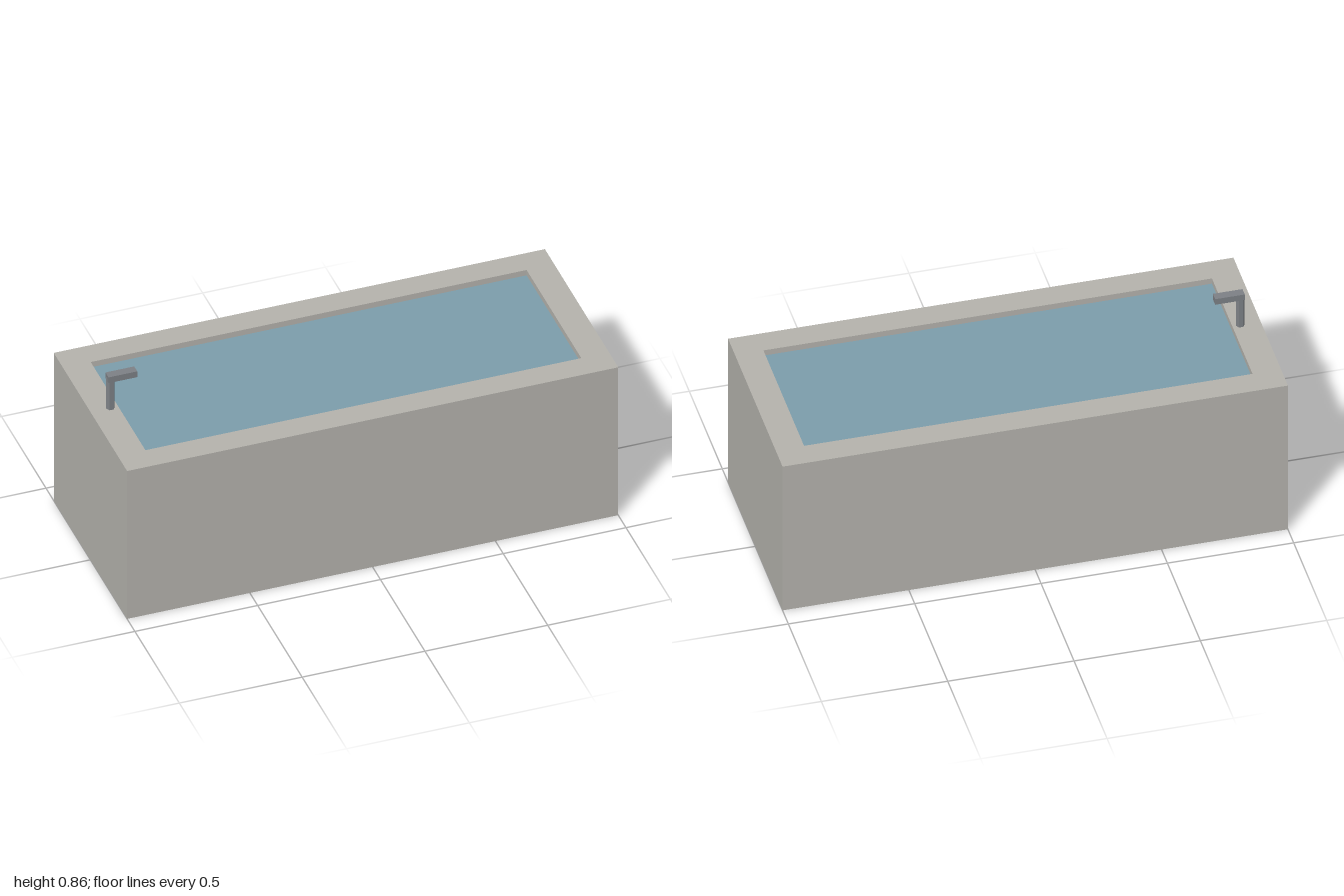
import * as THREE from 'three';

const W = 2, H = 0.697, D = 0.825;      // outer block
const IW = 1.775, ID = 0.615;           // basin opening
const FLOOR = 0.1, WATER = H - 0.025;

export function createModel() {
  const group = new THREE.Group();
  const stone = new THREE.MeshStandardMaterial({ color: 0xb5b3ad });
  stone.name = 'stone';
  const blue = new THREE.MeshStandardMaterial({ color: 0x7c9dab });
  blue.name = 'water';
  const metal = new THREE.MeshStandardMaterial({ color: 0x7d8186 });
  metal.name = 'metal';

  const add = (name, geometry, material, x, y, z) => {
    const mesh = new THREE.Mesh(geometry, material);
    mesh.name = name;
    mesh.position.set(x, y, z);
    group.add(mesh);
    return mesh;
  };

  const rect = (path, w, d) => path
    .moveTo(-w / 2, -d / 2).lineTo(w / 2, -d / 2)
    .lineTo(w / 2, d / 2).lineTo(-w / 2, d / 2).closePath();

  // Tub walls: rectangular frame extruded upwards
  const outline = new THREE.Shape();
  rect(outline, W, D);
  const opening = new THREE.Path();
  rect(opening, IW, ID);
  outline.holes.push(opening);
  const walls = new THREE.ExtrudeGeometry(outline, { depth: H, bevelEnabled: false });
  walls.rotateX(-Math.PI / 2);
  add('tubWalls', walls, stone, 0, 0, 0);

  // Floor plugs the opening, water lies just below the rim
  add('tubFloor', new THREE.BoxGeometry(IW, FLOOR, ID), stone, 0, FLOOR / 2, 0);
  add('water', new THREE.PlaneGeometry(IW, ID).rotateX(-Math.PI / 2), blue, 0, WATER, 0);

  // Tap: six-sided post with a square spout reaching over the water
  const post = new THREE.CylinderGeometry(0.0173, 0.0173, 0.145, 6).rotateY(Math.PI / 2).toNonIndexed();
  post.computeVertexNormals();
  add('tapPost', post, metal, -0.919, H + 0.0715, 0);
  add('tapSpout', new THREE.BoxGeometry(0.117, 0.027, 0.035), metal, -0.874, 0.8415, 0);

  return group;
}
